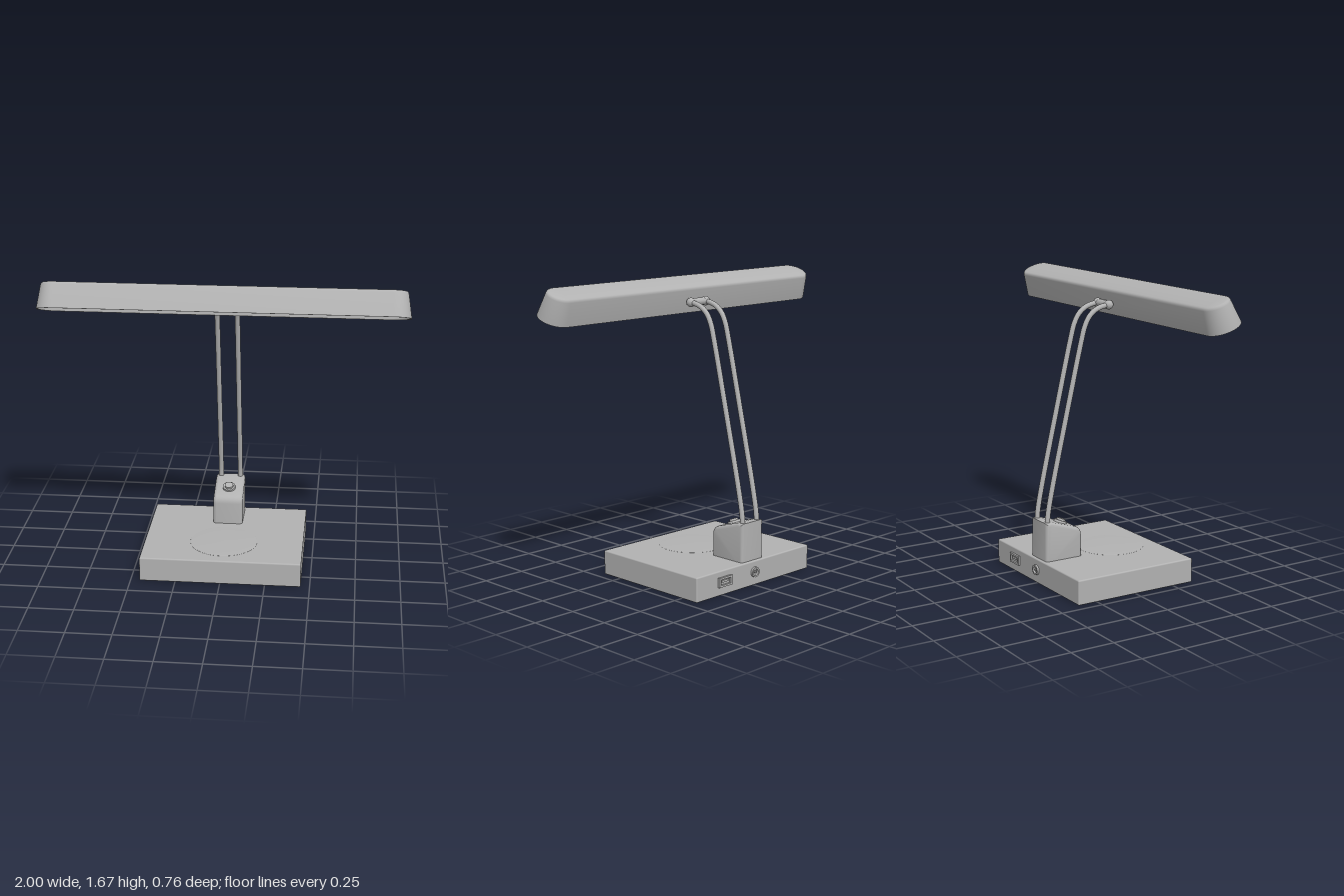
import * as THREE from 'three';
import { toCreasedNormals } from 'three/addons/utils/BufferGeometryUtils.js';
import { RoundedBoxGeometry } from 'three/addons/geometries/RoundedBoxGeometry.js';

const grey = new THREE.MeshStandardMaterial({ color: 0xb2b2b2 });
grey.name = 'satin grey';

function add(parent, name, geometry, x = 0, y = 0, z = 0) {
  const mesh = new THREE.Mesh(geometry, grey);
  mesh.name = name;
  mesh.position.set(x, y, z);
  parent.add(mesh);
  return mesh;
}

// Closed loft through stadium-shaped rings, each given as [radius, height], from bottom to top
function stadiumLoft(halfCore, rings, arc = 20) {
  const positions = [], index = [], n = 2 * (arc + 1);
  for (const [r, y] of rings) {
    for (let side = 0; side < 2; side++) {
      for (let i = 0; i <= arc; i++) {
        const a = Math.PI * (side + i / arc) - Math.PI / 2;
        positions.push((side ? -halfCore : halfCore) + r * Math.cos(a), y, -r * Math.sin(a));
      }
    }
  }
  for (let k = 0; k < rings.length - 1; k++) {
    for (let i = 0; i < n; i++) {
      const a = k * n + i, b = k * n + (i + 1) % n;
      index.push(a, b, b + n, a, b + n, a + n);
    }
  }
  const g = new THREE.BufferGeometry();
  g.setAttribute('position', new THREE.Float32BufferAttribute(positions, 3));
  g.setIndex(index);
  return toCreasedNormals(g, 0.6);
}

function buildBase(group) {
  add(group, 'base', new RoundedBoxGeometry(0.9, 0.14, 0.745, 3, 0.008), 0, 0.07, 0.0045);
  // Slightly domed charging pad
  const pad = [[0.19, 0], [0.188, 0.002], [0.13, 0.0035], [0.07, 0.0045], [0, 0.005]]
    .map(([r, y]) => new THREE.Vector2(r, y));
  add(group, 'chargingPad', new THREE.LatheGeometry(pad, 64), 0, 0.14, 0.12);

  // Framed rectangular socket with its tongue
  const frame = new THREE.Shape([[-0.05, -0.027], [0.05, -0.027], [0.05, 0.027], [-0.05, 0.027]]
    .map(([x, y]) => new THREE.Vector2(x, y)));
  frame.holes.push(new THREE.Path([[-0.038, -0.016], [-0.038, 0.016], [0.038, 0.016], [0.038, -0.016]]
    .map(([x, y]) => new THREE.Vector2(x, y))));
  add(group, 'socketFrame', new THREE.ExtrudeGeometry(frame, { depth: 0.014, bevelEnabled: false }), 0.237, 0.077, -0.38);
  add(group, 'socketTongue', new THREE.BoxGeometry(0.055, 0.012, 0.01), 0.237, 0.081, -0.371);

  // Round power jack with its centre pin
  const ring = new THREE.Shape().absarc(0, 0, 0.029, 0, Math.PI * 2);
  ring.holes.push(new THREE.Path().absarc(0, 0, 0.019, 0, Math.PI * 2, true));
  add(group, 'jackRing', new THREE.ExtrudeGeometry(ring, { depth: 0.014, bevelEnabled: false, curveSegments: 20 }), 0, 0.077, -0.38);
  const pin = add(group, 'jackPin', new THREE.CylinderGeometry(0.007, 0.007, 0.012, 16), 0, 0.077, -0.371);
  pin.rotation.x = Math.PI / 2;
}

function buildPost(group) {
  // Side profile with a sloping top, extruded across the width with soft edges
  const b = 0.018;
  const profile = new THREE.Shape();
  profile.moveTo(0.352 - b, 0.12);
  profile.lineTo(0.352 - b, 0.36 - b);
  profile.lineTo(0.315, 0.36 - b);
  profile.lineTo(0.16, 0.312 - b);
  profile.quadraticCurveTo(0.122 + b, 0.305 - b, 0.122 + b, 0.282 - b);
  profile.lineTo(0.122 + b, 0.12);
  const g = new THREE.ExtrudeGeometry(profile, {
    depth: 0.17 - 2 * b, bevelThickness: b, bevelSize: b, bevelSegments: 4, curveSegments: 6,
  });
  g.translate(0, 0, -0.085 + b);
  g.rotateY(Math.PI / 2 + Math.PI / 2 - Math.PI / 2);
  add(group, 'post', toCreasedNormals(g, 0.5));

  // Push button on the slope, with a raised cap
  const button = new THREE.Group();
  button.name = 'button';
  button.position.set(0, 0.333, -0.212);
  button.rotation.x = 0.36;
  add(button, 'buttonCollar', new THREE.CylinderGeometry(0.036, 0.038, 0.016, 32));
  add(button, 'buttonCap', new THREE.CylinderGeometry(0.024, 0.027, 0.03, 32), 0, 0.004, 0);
  group.add(button);
}

function buildArms(group) {
  const path = [[0.3, -0.33], [0.37, -0.328], [0.42, -0.322], [0.55, -0.296], [0.98, -0.196], [1.36, -0.105],
    [1.43, -0.085], [1.485, -0.055], [1.518, -0.015], [1.533, 0.025], [1.54, 0.07]];
  for (const side of [1, -1]) {
    const curve = new THREE.CatmullRomCurve3(path.map(([y, z]) => new THREE.Vector3(side * 0.056, y, z)));
    add(group, side > 0 ? 'leftArm' : 'rightArm', new THREE.TubeGeometry(curve, 70, 0.0145, 14));
    add(group, 'hingeBall', new THREE.SphereGeometry(0.026, 24, 16), side * 0.056, 1.54, 0.07);
  }
  const hinge = add(group, 'hingeBar', new THREE.CylinderGeometry(0.021, 0.021, 0.14, 24), 0, 1.54, 0.07);
  hinge.rotation.z = Math.PI / 2;
  add(group, 'hingeMount', new THREE.BoxGeometry(0.06, 0.026, 0.05), 0, 1.543, 0.09);
}

function buildHead(group) {
  // Long tapered shade: recessed underside, rim, sloping wall, softened top edge
  const head = add(group, 'lampHead', stadiumLoft(0.9, [
    [0, -0.055], [0.088, -0.055], [0.092, -0.073], [0.1, -0.073], [0.081, 0.056],
    [0.078, 0.065], [0.072, 0.07], [0.063, 0.072], [0, 0.072],
  ]), 0, 1.581, 0.185);
  head.rotation.x = -0.375;
}

export function createModel() {
  const group = new THREE.Group();
  group.name = 'deskLamp';
  buildBase(group);
  buildPost(group);
  buildArms(group);
  buildHead(group);
  return group;
}
